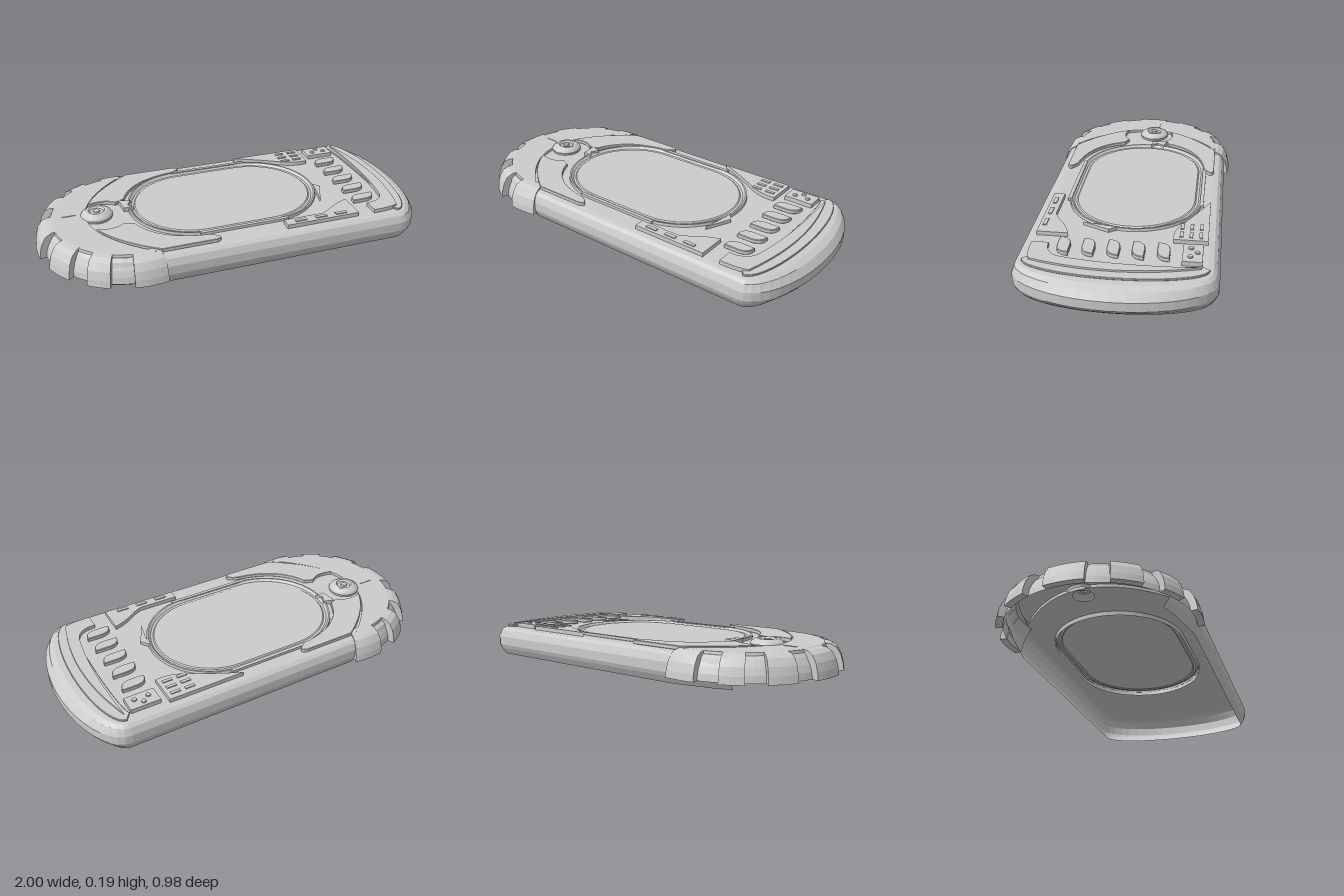
import * as THREE from 'three';

const mat = new THREE.MeshStandardMaterial({ color: 0xcccccc, flatShading: true, side: THREE.DoubleSide });
const CX = -0.53, RX = 0.47, RZ = 0.49; // centre and radii of the rounded bumper end
const DECK = 0.151; // height of the top deck
const CAP = 0.166; // height of the crescent cap
const HUB = [-0.68, -0.03];
const rad = THREE.MathUtils.degToRad;

function add(parent, name, geometry) {
  const mesh = new THREE.Mesh(geometry, mat);
  mesh.name = name;
  parent.add(mesh);
  return mesh;
}

// Skin a list of equally long rows of [x, y, z] points
function loft(rows) {
  const n = rows[0].length, index = [];
  for (let i = 0; i < rows.length - 1; i++) {
    for (let j = 0; j < n - 1; j++) {
      const a = i * n + j, b = a + n;
      index.push(a, b, a + 1, b, b + 1, a + 1);
    }
  }
  const g = new THREE.BufferGeometry();
  g.setAttribute('position', new THREE.Float32BufferAttribute(rows.flat(2), 3));
  g.setIndex(index);
  g.computeVertexNormals();
  return g;
}

// Raise a shape drawn in (x, z) from the deck up to y = top
function slab(shape, top, bevel = 0) {
  const g = new THREE.ExtrudeGeometry(shape, {
    depth: top - DECK - 0.0004 - 2 * bevel, curveSegments: 16, bevelEnabled: bevel > 0,
    bevelSize: bevel, bevelOffset: -bevel, bevelThickness: bevel, bevelSegments: 1,
  });
  return g.rotateX(Math.PI / 2).translate(0, top - bevel, 0);
}

// Flat sheet from a shape drawn in (x, z)
const sheet = (shape, y) => new THREE.ShapeGeometry(shape, 24).rotateX(Math.PI / 2).translate(0, y, 0);
const polygon = (pts) => new THREE.Shape(pts.map(([x, z]) => new THREE.Vector2(x, z)));

// Curved right end of the body, inset by d
function endCurve(d, steps = 20) {
  const pts = [];
  for (let i = 0; i <= steps; i++) {
    const t = -Math.PI / 2 + (Math.PI * i) / steps;
    pts.push([0.8 + (0.2 - 2 * d) * Math.cos(t), (0.46 - d) * Math.sin(t)]);
  }
  return pts;
}

// Point on the bumper ellipse; angle 0 points to -x
const bumperPoint = (deg, s) => [CX - RX * s * Math.cos(rad(deg)), RZ * s * Math.sin(rad(deg))];

// Outline of the oval screen opening
function oval(r, steps = 24) {
  const pts = [];
  for (let side = 0; side < 2; side++) {
    for (let i = 0; i <= steps; i++) {
      const t = -Math.PI / 2 + Math.PI * (side + i / steps);
      pts.push([-0.01 + (side ? -0.17 : 0.17) + r * Math.cos(t), -0.02 + r * Math.sin(t)]);
    }
  }
  return pts;
}

// Closed ring following the oval, from [radius, y] pairs
const ovalRing = (profile) => loft(profile.map(([r, y]) => {
  const pts = oval(r).map(([x, z]) => [x, y, z]);
  return [...pts, pts[0]];
}));

function bumperBand(profile, from, to, steps, capped) {
  const rows = [];
  for (let i = 0; i <= steps; i++) {
    const a = from + ((to - from) * i) / steps;
    rows.push(profile.map(([s, y]) => {
      const [x, z] = bumperPoint(a, s);
      return [x, y, z];
    }));
  }
  if (capped) { // collapse the ends to close the block
    const centre = (row) => {
      const c = [0, 1, 2].map((k) => row.slice(1).reduce((sum, p) => sum + p[k], 0) / (row.length - 1));
      return row.map(() => c);
    };
    rows.unshift(centre(rows[0]));
    rows.push(centre(rows[rows.length - 1]));
  }
  return loft(rows);
}

export function createModel() {
  const model = new THREE.Group();
  model.name = 'handheldDevice';

  // Hollow side wall, open underneath and towards the bumper
  const wall = [[0.03, 0], [0.008, 0.035], [0, 0.055], [0, 0.1], [0.014, 0.135], [0.03, 0.148], [0.054, DECK]];
  add(model, 'sideWall', loft(wall.map(([d, y]) => {
    const left = [[-0.73, 0.39], [-0.64, 0.42], [-0.55, 0.438], [-0.45, 0.46]];
    const back = left.map(([x, z]) => [x, -(z - d)]);
    const front = left.map(([x, z]) => [x, z - d]).reverse();
    return [...back, ...endCurve(d), ...front].map(([x, z]) => [x, y, z]);
  })));

  // Top deck with openings for the screen and the hub
  const crescent = new THREE.QuadraticBezierCurve(new THREE.Vector2(-0.48, 0.406), new THREE.Vector2(-1, 0), new THREE.Vector2(-0.48, -0.406))
    .getPoints(28).map((p) => [p.x, p.y]);
  const deck = polygon([...endCurve(0.054), ...crescent]);
  deck.holes.push(new THREE.Path(oval(0.334).map(([x, z]) => new THREE.Vector2(x, z))));
  deck.holes.push(new THREE.Path().absarc(...HUB, 0.05, 0, Math.PI * 2));
  add(model, 'topDeck', sheet(deck, DECK));

  // Raised step along the right end
  const inner = endCurve(0.085).reverse().map(([x, z]) => [x - 0.03, z]);
  add(model, 'endStep', slab(polygon([...endCurve(0.045), ...inner]), 0.162, 0.002));

  // Screen, its grooved rim and the skirt below the deck
  add(model, 'screenRim', ovalRing([[0.338, DECK], [0.336, 0.165], [0.328, 0.165], [0.316, 0.153], [0.304, 0.152], [0.298, 0.157]]));
  add(model, 'screenSkirt', ovalRing([[0.335, DECK], [0.332, 0.13]]));
  add(model, 'screen', sheet(polygon(oval(0.298)), 0.157));
  for (const s of [-1, 1]) {
    add(model, 'screenEdgeBar', new THREE.BoxGeometry(0.46, 0.014, 0.018)).position.set(-0.005, 0.16, -0.02 + s * 0.334);
  }
  add(model, 'screenTab', slab(polygon([[-0.55, -0.12], [-0.49, -0.1], [-0.515, -0.06], [-0.49, -0.03], [-0.54, -0.03]]), 0.174));
  add(model, 'screenTab', slab(polygon([[0.46, 0.2], [0.52, 0.07], [0.49, 0.03], [0.48, 0.1]]), 0.169));

  // Bumper: top edge, sloping recessed wall and grip teeth
  add(model, 'bumperEdge', bumperBand([[0.77, CAP], [0.815, 0.164], [0.82, 0.15]], -102, 102, 51, false));
  add(model, 'bumperWall', bumperBand([[0.81, 0.155], [0.85, 0.135], [0.895, 0.1], [0.92, 0.07], [0.93, 0.037]], -100, 100, 50, false));
  const tooth = [[0.8, 0.165], [0.86, 0.161], [0.92, 0.146], [0.965, 0.112], [0.99, 0.072], [1, 0.036], [0.93, 0.036], [0.89, 0.1], [0.8, 0.165]];
  add(model, 'gripTooth', bumperBand(tooth, -11, 11, 6, true));
  for (const [from, to] of [[24, 41], [53, 67], [81, 101]]) {
    for (const s of [-1, 1]) add(model, 'gripTooth', bumperBand(tooth, s * from, s * to, 5, true));
  }

  // Crescent cap inside the bumper, with the wall down to the deck
  const capEdge = [];
  for (let a = -96; a <= 96; a += 6) capEdge.push(bumperPoint(a, 0.8));
  add(model, 'crescentCap', sheet(polygon([...capEdge, ...crescent]), CAP));
  add(model, 'crescentWall', loft([CAP, DECK].map((y) => crescent.map(([x, z]) => [x, y, z]))));

  // Curved panels either side of the hub
  for (const s of [-1, 1]) {
    const p = new THREE.Shape();
    p.moveTo(-0.45, s * 0.405);
    p.lineTo(-0.18, s * 0.405);
    p.quadraticCurveTo(-0.12, s * 0.39, -0.2, s * 0.35);
    p.quadraticCurveTo(-0.45, s * 0.32, -0.52, s * 0.13);
    p.lineTo(-0.57, s * 0.11);
    p.quadraticCurveTo(-0.62, s * 0.16, -0.71, s * 0.13);
    p.quadraticCurveTo(-0.64, s * 0.28, -0.45, s * 0.405);
    add(model, 'curvedPanel', slab(p, 0.171, 0.002));
  }

  // Round hub button, hollow below
  const hub = [[0.078, DECK], [0.082, 0.165], [0.075, 0.176], [0.055, 0.189], [0.042, 0.189], [0.034, 0.18], [0.018, 0.18], [0.016, 0.187], [0, 0.187]];
  add(model, 'hubButton', new THREE.LatheGeometry(hub.map(([r, y]) => new THREE.Vector2(r, y)), 28)).position.set(HUB[0], 0, HUB[1]);
  add(model, 'hubMark', new THREE.BoxGeometry(0.07, 0.004, 0.006)).position.set(-0.82, CAP + 0.001, -0.05);

  // Corner control panels
  const backPanel = new THREE.Shape();
  backPanel.moveTo(0.19, -0.4);
  backPanel.lineTo(0.58, -0.4);
  backPanel.lineTo(0.58, -0.24);
  backPanel.quadraticCurveTo(0.5, -0.23, 0.42, -0.28);
  backPanel.quadraticCurveTo(0.32, -0.34, 0.19, -0.4);
  add(model, 'backPanel', slab(backPanel, 0.172));
  const frontPanel = new THREE.Shape();
  frontPanel.moveTo(0.19, 0.4);
  frontPanel.lineTo(0.58, 0.4);
  frontPanel.lineTo(0.58, 0.25);
  frontPanel.quadraticCurveTo(0.51, 0.27, 0.45, 0.32);
  frontPanel.lineTo(0.4, 0.345);
  frontPanel.lineTo(0.19, 0.345);
  add(model, 'frontPanel', slab(frontPanel, 0.172));
  for (let i = 0; i < 3; i++) {
    add(model, 'smallKey', new THREE.BoxGeometry(0.06, 0.008, 0.018)).position.set(0.27 + i * 0.11, 0.173, 0.375);
    for (let j = 0; j < 2; j++) {
      add(model, 'smallKey', new THREE.BoxGeometry(0.05, 0.008, 0.016)).position.set(0.46 + j * 0.075, 0.173, -0.365 + i * 0.045);
    }
  }

  // Square key pad
  add(model, 'keyPad', new THREE.BoxGeometry(0.15, 0.022, 0.09)).position.set(0.69, 0.163, -0.335);
  for (const x of [0.655, 0.69, 0.725]) {
    add(model, 'padKey', new THREE.CylinderGeometry(0.011, 0.013, 0.008, 10)).position.set(x, 0.177, -0.335 + (x === 0.69 ? -0.02 : 0.01));
  }

  // Row of leaf-shaped buttons
  for (let i = 0; i < 5; i++) {
    const z = -0.205 + i * 0.1135, leaf = new THREE.Shape();
    leaf.moveTo(0.615, z + 0.03);
    leaf.quadraticCurveTo(0.61, z - 0.03, 0.68, z - 0.03);
    leaf.lineTo(0.745, z - 0.03);
    leaf.quadraticCurveTo(0.745, z + 0.03, 0.68, z + 0.03);
    leaf.closePath();
    add(model, 'leafButton', slab(leaf, 0.173, 0.003));
  }

  // Curved strip along the right end
  const strip = new THREE.Shape();
  strip.moveTo(0.8, -0.38);
  strip.quadraticCurveTo(0.92, 0, 0.81, 0.38);
  strip.quadraticCurveTo(0.78, 0.4, 0.67, 0.4);
  strip.lineTo(0.67, 0.32);
  strip.quadraticCurveTo(0.76, 0.32, 0.78, 0.25);
  strip.quadraticCurveTo(0.83, 0, 0.8, -0.38);
  add(model, 'endStrip', slab(strip, 0.171));

  return model;
}
